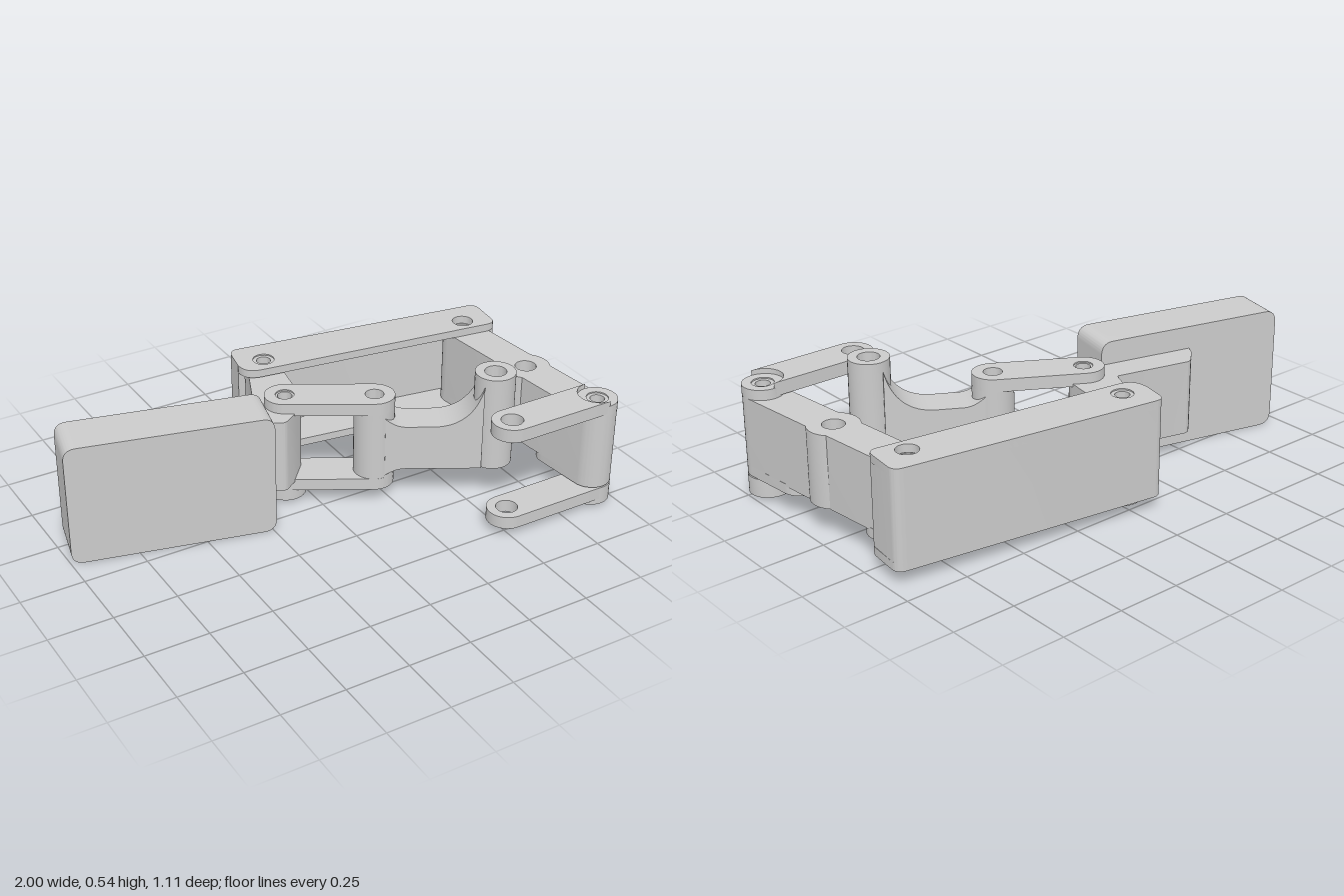
import * as THREE from 'three';
import { toCreasedNormals } from 'three/addons/utils/BufferGeometryUtils.js';

const material = new THREE.MeshStandardMaterial({ color: 0xcccccc });

// Polygon with corners [x, z, radius]; a missing radius keeps the corner sharp
function outline(points) {
  const shape = new THREE.Shape();
  const n = points.length;
  points.forEach(([x, z, r = 0], i) => {
    const corner = new THREE.Vector2(x, z);
    const toward = (p) => new THREE.Vector2(p[0], p[1]).sub(corner).setLength(r).add(corner);
    const a = toward(points[(i + n - 1) % n]);
    const b = toward(points[(i + 1) % n]);
    if (i) shape.lineTo(a.x, a.y);
    else shape.moveTo(a.x, a.y);
    if (r) shape.quadraticCurveTo(x, z, b.x, b.y);
  });
  shape.closePath();
  return shape;
}

// Round-ended bar from a to b
function capsule([ax, az], [bx, bz], r) {
  const t = Math.atan2(bz - az, bx - ax);
  const shape = new THREE.Shape();
  shape.absarc(bx, bz, r, t - Math.PI / 2, t + Math.PI / 2);
  shape.absarc(ax, az, r, t + Math.PI / 2, t + Math.PI * 1.5);
  shape.closePath();
  return shape;
}

function disc([x, z], r) {
  return new THREE.Shape().absarc(x, z, r, 0, Math.PI * 2);
}

function extrude(shape, depth) {
  const geo = new THREE.ExtrudeGeometry(shape, { depth, bevelEnabled: false, curveSegments: 16 });
  return toCreasedNormals(geo, 0.5);
}

export function createModel() {
  const model = new THREE.Group();

  function add(name, geo) {
    const mesh = new THREE.Mesh(geo, material);
    mesh.name = name;
    model.add(mesh);
    return mesh;
  }

  // Plan-view shape raised from y0 to y1, pierced at the given pivots
  function prism(name, shape, y0, y1, pivots = [], holeRadius = 0.042) {
    for (const [x, z] of pivots) {
      shape.holes.push(new THREE.Path().absarc(x, z, holeRadius, 0, Math.PI * 2, true));
    }
    return add(name, extrude(shape, y1 - y0).rotateX(Math.PI / 2).translate(0, y1, 0));
  }

  // Pivots in plan [x, z]
  const channelLeft = [-0.015, -0.435];
  const channelRight = [0.845, -0.31];
  const armPivot = [-0.08, -0.15];
  const linkJoint = [0.215, 0.02];
  const barrelPivot = [0.61, 0.245];
  const sideMiddle = [0.88, 0.08];
  const sideEnd = [0.92, 0.475];
  const freeEnd = [0.525, 0.475];

  // Pad: upright slab with rounded corners, turned slightly
  const w = 0.39;
  const pad = add('pad', extrude(outline([
    [-w, 0, 0.05], [w, 0, 0.05], [w, 0.49, 0.05], [-w, 0.49, 0.05],
  ]), 0.196).translate(0, 0, -0.098));
  pad.position.set(-0.595, 0, -0.124);
  pad.rotation.y = -Math.atan2(0.185, 0.76);

  // Bracket from the pad to its two pivots
  prism('padBracket', outline([
    [-0.57, -0.21], [-0.55, -0.25, 0.02], [-0.48, -0.315, 0.02], [-0.17, -0.24, 0.01],
    [-0.095, -0.41], [-0.07, -0.52, 0.07], [0.07, -0.49, 0.07], [0.04, -0.37],
    [0, -0.16, 0.03], [-0.09, -0.06], [-0.15, -0.02, 0.02], [-0.21, -0.06],
  ]), 0.1, 0.4, [channelLeft, armPivot]);

  // Channel: back wall with returned ends, and two flanges
  prism('channelWall', outline([
    [-0.125, -0.44], [-0.1, -0.567, 0.04], [0.975, -0.41, 0.04], [0.955, -0.25],
    [0.93, -0.25], [0.943, -0.385, 0.02], [-0.075, -0.533, 0.02], [-0.095, -0.44],
  ]), 0.055, 0.44);
  for (const y of [0.055, 0.408]) {
    prism('channelFlange', outline([
      [-0.137, -0.373, 0.08], [-0.1, -0.567, 0.04], [0.975, -0.41, 0.04], [0.955, -0.23, 0.04],
    ]), y, y + 0.032, [channelLeft, channelRight]);
  }
  prism('channelBoss', disc(channelLeft, 0.078), 0.025, 0.055, [channelLeft]);

  // Paired short links with a boss under the bracket pivot
  for (const [y0, y1] of [[0.06, 0.108], [0.39, 0.44]]) {
    prism('shortLink', capsule(armPivot, linkJoint, 0.079), y0, y1, [armPivot, linkJoint], 0.036);
  }
  prism('shortLinkBoss', disc(armPivot, 0.079), 0.012, 0.07, [armPivot], 0.036);

  // Middle link: two barrels joined by a bar that sweeps up to the taller one
  prism('jointBarrel', disc(linkJoint, 0.079), 0.1, 0.395, [linkJoint], 0.036);
  prism('tallBarrel', disc(barrelPivot, 0.078), 0.15, 0.535, [barrelPivot]);
  const profile = new THREE.Shape();
  profile.moveTo(0.04, 0.12);
  profile.quadraticCurveTo(0.08, 0.15, 0.12, 0.15);
  profile.lineTo(0.41, 0.15);
  profile.lineTo(0.41, 0.5);
  profile.quadraticCurveTo(0.37, 0.335, 0.22, 0.335);
  profile.lineTo(0.12, 0.335);
  profile.quadraticCurveTo(0.08, 0.335, 0.04, 0.37);
  profile.closePath();
  const bar = add('middleLinkBar', extrude(profile, 0.146).translate(0, 0, -0.073));
  bar.position.set(linkJoint[0], 0, linkJoint[1]);
  bar.rotation.y = -Math.atan2(0.225, 0.395);

  // Side arm: thinner underneath around its middle pivot
  prism('sideArmBody', capsule(channelRight, sideEnd, 0.077), 0.12, 0.405,
    [channelRight, sideMiddle, sideEnd]);
  prism('sideArmMiddleBoss', disc(sideMiddle, 0.098), 0.12, 0.405, [sideMiddle]);
  prism('sideArmBackFoot', capsule(channelRight, [0.857, -0.2], 0.077), 0.09, 0.13, [channelRight]);
  prism('sideArmFrontFoot', capsule([0.902, 0.28], sideEnd, 0.077), 0.09, 0.13, [sideEnd]);

  // Paired front links, each plate hollowed to meet its pivot disc
  for (const [p0, p1, d0, d1] of [[0.412, 0.465, 0.405, 0.445], [0.035, 0.085, 0.012, 0.085]]) {
    const plate = new THREE.Shape();
    plate.absarc(freeEnd[0], freeEnd[1], 0.077, Math.PI / 2, Math.PI * 1.5);
    plate.absarc(sideEnd[0], sideEnd[1], 0.077, Math.PI * 1.5, Math.PI / 2, true);
    plate.closePath();
    prism('frontLink', plate, p0, p1, [freeEnd]);
    prism('frontLinkPivot', disc(sideEnd, 0.078), d0, d1, [sideEnd]);
  }

  // Hollow pins through the fixed pivots
  for (const [p, y0, y1] of [[channelLeft, 0.03, 0.435], [armPivot, 0.017, 0.435], [sideEnd, 0.017, 0.44]]) {
    prism('hollowPin', disc(p, 0.043), y0, y1, [p], 0.028);
  }
  return model;
}
